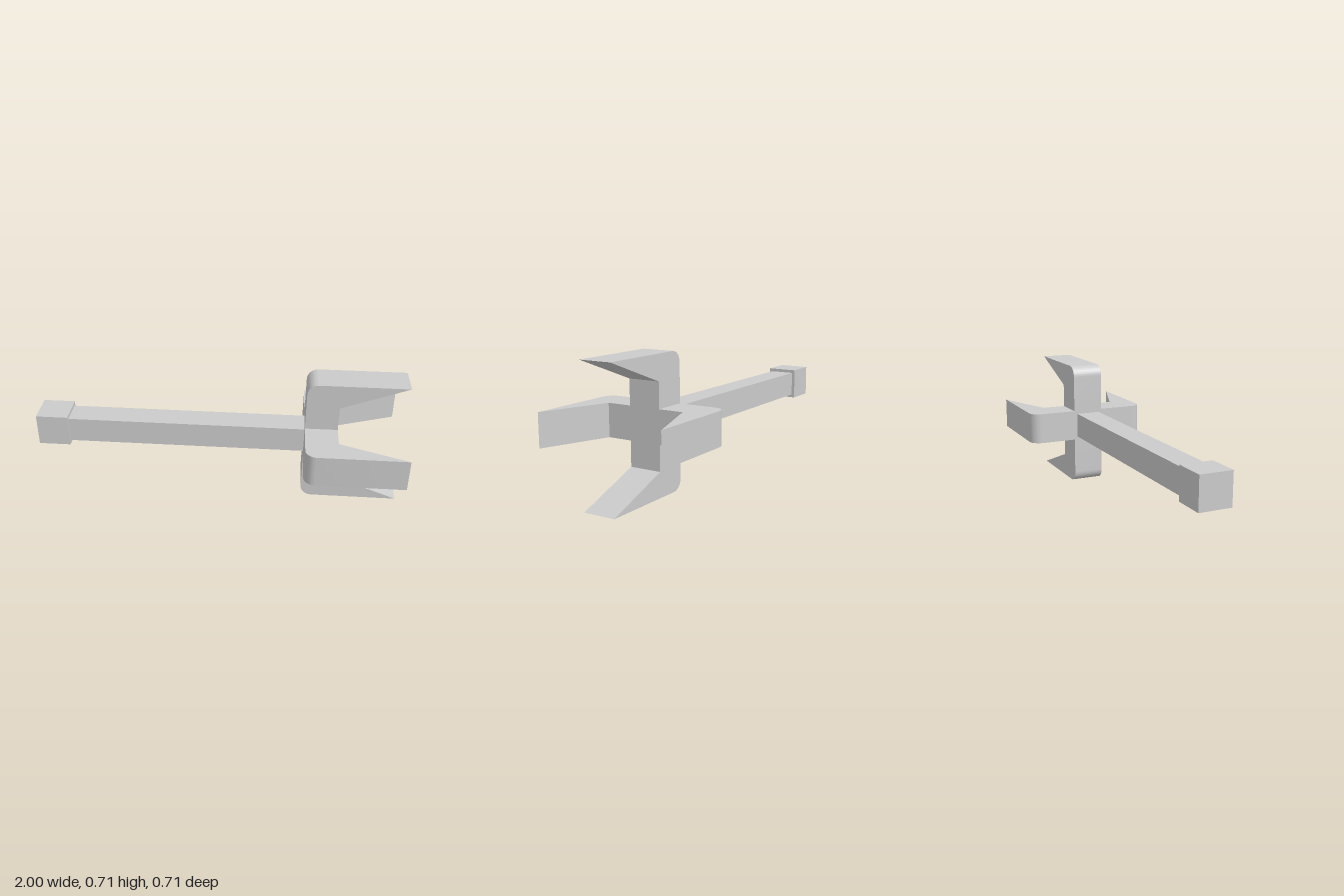
import * as THREE from 'three';
import { toCreasedNormals } from 'three/addons/utils/BufferGeometryUtils.js';

export function createModel() {
  const model = new THREE.Group();
  model.name = 'fourProngedStaff';
  const material = new THREE.MeshStandardMaterial({ color: 0xcccccc });

  const reach = 0.355; // distance from the long axis to the outside of a prong
  const half = 0.088; // half the thickness of prongs, core and pommel
  const backX = 0.47, frontX = 0.645, tipX = 1;

  // Square bar along x, centred on the long axis
  function bar(name, x0, x1, h) {
    const mesh = new THREE.Mesh(new THREE.BoxGeometry(x1 - x0, h * 2, h * 2), material);
    mesh.name = name;
    mesh.position.set((x0 + x1) / 2, reach, 0);
    model.add(mesh);
  }
  bar('pommel', -1, -0.825, half);
  bar('shaft', -0.825, backX, 0.07);
  bar('headCore', backX, frontX, half);

  // Prong profile: arm out from the core, rounded back corner, tapering spike
  const r = 0.06;
  const profile = new THREE.Shape();
  profile.moveTo(backX, half);
  profile.lineTo(frontX, half);
  profile.lineTo(frontX, 0.222);
  profile.lineTo(tipX, reach);
  profile.lineTo(backX + r, reach);
  profile.absarc(backX + r, reach - r, r, Math.PI / 2, Math.PI, false);
  profile.lineTo(backX, half);
  const extruded = new THREE.ExtrudeGeometry(profile, { depth: half * 2, bevelEnabled: false, curveSegments: 8 });
  extruded.translate(0, 0, -half);
  const prongGeometry = toCreasedNormals(extruded, Math.PI / 6);

  // Four prongs around the long axis
  ['topProng', 'frontProng', 'bottomProng', 'backProng'].forEach((name, i) => {
    const prong = new THREE.Mesh(prongGeometry, material);
    prong.name = name;
    prong.position.y = reach;
    prong.rotation.x = (i * Math.PI) / 2;
    model.add(prong);
  });

  return model;
}
